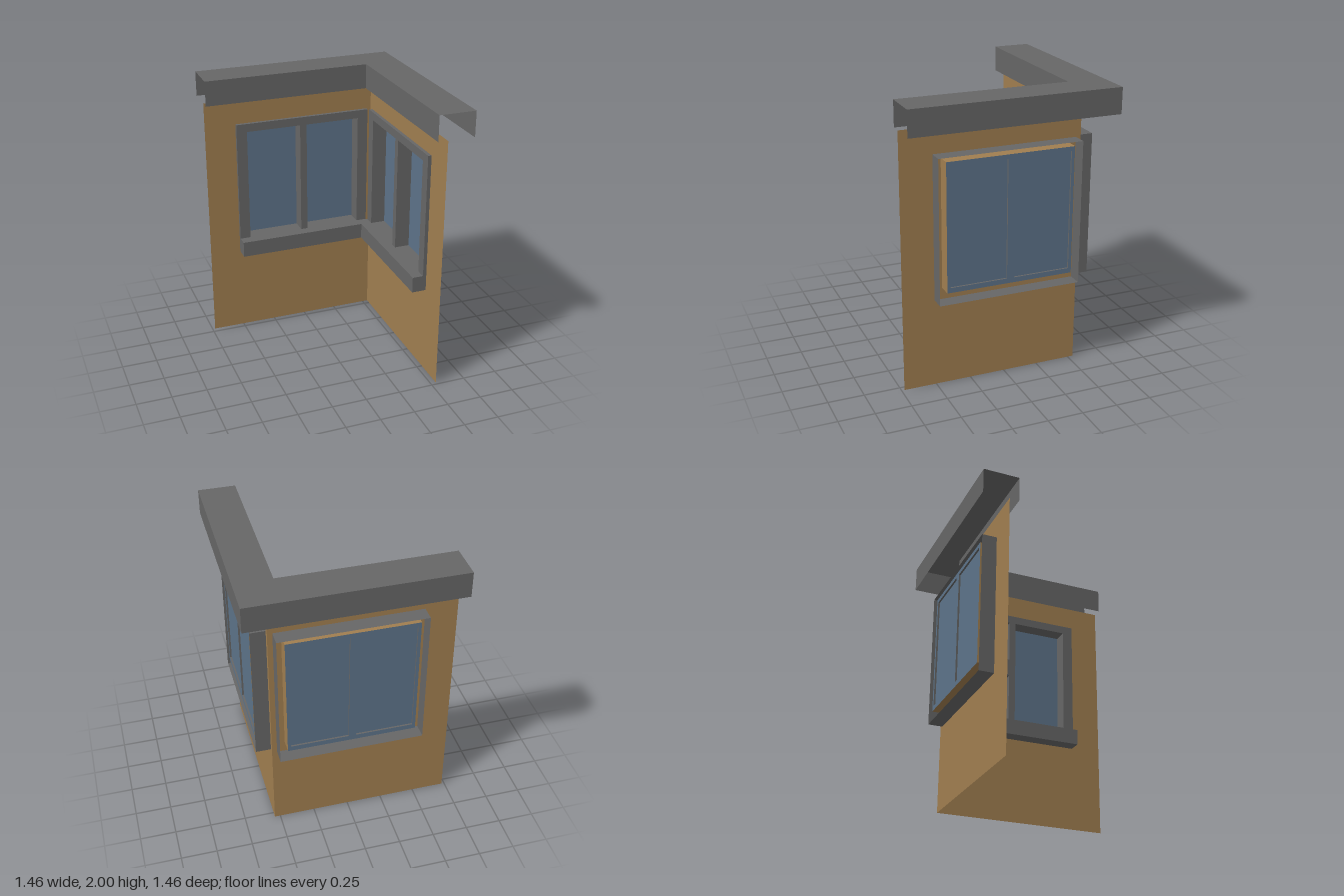
import * as THREE from 'three';

const flat = (name, color) => {
  const m = new THREE.MeshStandardMaterial({ color, side: THREE.DoubleSide });
  m.name = name;
  return m;
};

// Closed rectangle as corner points
const rect = (x0, x1, y0, y1) => [[x0, y0], [x1, y0], [x1, y1], [x0, y1]];
const vectors = (pts) => pts.map(([x, y]) => new THREE.Vector2(x, y));

// Flat sheet with optional holes, placed at depth z
function sheet(outline, holes = [], z = 0) {
  const shape = new THREE.Shape(vectors(outline));
  for (const h of holes) shape.holes.push(new THREE.Path(vectors(h)));
  return new THREE.ShapeGeometry(shape).translate(0, 0, z);
}

// Thin band that sweeps a path from z0 to z1
function band(path, z0, z1, closed = true) {
  const pos = [];
  const count = closed ? path.length : path.length - 1;
  for (let i = 0; i < count; i++) {
    const [ax, ay] = path[i];
    const [bx, by] = path[(i + 1) % path.length];
    pos.push(ax, ay, z0, bx, by, z0, bx, by, z1);
    pos.push(ax, ay, z0, bx, by, z1, ax, ay, z1);
  }
  const g = new THREE.BufferGeometry();
  g.setAttribute('position', new THREE.Float32BufferAttribute(pos, 3));
  g.computeVertexNormals();
  return g;
}

export function createModel() {
  const brown = flat('wall brown', 0xa07e50);
  const grey = flat('trim grey', 0x666666);
  const blue = flat('glass blue', 0x5d7389);

  const model = new THREE.Group();
  model.name = 'cornerWall';
  const add = (parent, name, geometry, material) => {
    const mesh = new THREE.Mesh(geometry, material);
    mesh.name = name;
    parent.add(mesh);
  };

  const WALL = -0.54, INNER = -0.515, OUTER = -0.645, GLASS = -0.637;
  const bay = rect(-0.45, 0.45, 0.71, 1.61);
  const surround = rect(-0.505, 0.505, 0.63, 1.64);
  const openings = [rect(-0.428, -0.025, 0.745, 1.58), rect(0.025, 0.428, 0.745, 1.58)];

  // One wall with its window; the inside faces +z
  function wallSide(name, x0, x1) {
    const side = new THREE.Group();
    side.name = name;
    add(side, 'wall', sheet(rect(x0, x1, 0, 1.82), [bay], WALL), brown);
    add(side, 'bayReveal', band(bay, WALL, GLASS), brown);
    add(side, 'innerFrame', sheet(surround, openings, INNER), grey);
    add(side, 'outerSurround', band(surround, INNER, OUTER), grey);
    add(side, 'sash', sheet(bay, openings, GLASS), blue);
    for (const o of openings) {
      add(side, 'windowReveal', band(o, INNER, GLASS), grey);
      add(side, 'pane', sheet(o, [], GLASS + 0.013), blue);
    }
    const sill = new THREE.BoxGeometry(1.01, 0.115, 0.098).translate(0, 0.6875, -0.486);
    add(side, 'sill', sill, grey);
    model.add(side);
    return side;
  }

  wallSide('backWall', -0.73, 0.54);
  wallSide('leftWall', -0.54, 0.73).rotation.y = -Math.PI / 2;

  // Hollow L-shaped cornice, open below and at both ends
  const outerEdge = [[-0.73, 0.73], [0.73, 0.73], [0.73, -0.73]];
  const innerEdge = [[0.47, -0.73], [0.47, 0.47], [-0.73, 0.47]];
  const cornice = new THREE.Group();
  cornice.name = 'cornice';
  cornice.rotation.x = -Math.PI / 2;
  add(cornice, 'corniceTop', sheet([...outerEdge, ...innerEdge], [], 2), grey);
  add(cornice, 'corniceOuterFace', band(outerEdge, 1.82, 2, false), grey);
  add(cornice, 'corniceInnerFace', band(innerEdge, 1.82, 2, false), grey);
  model.add(cornice);

  return model;
}
